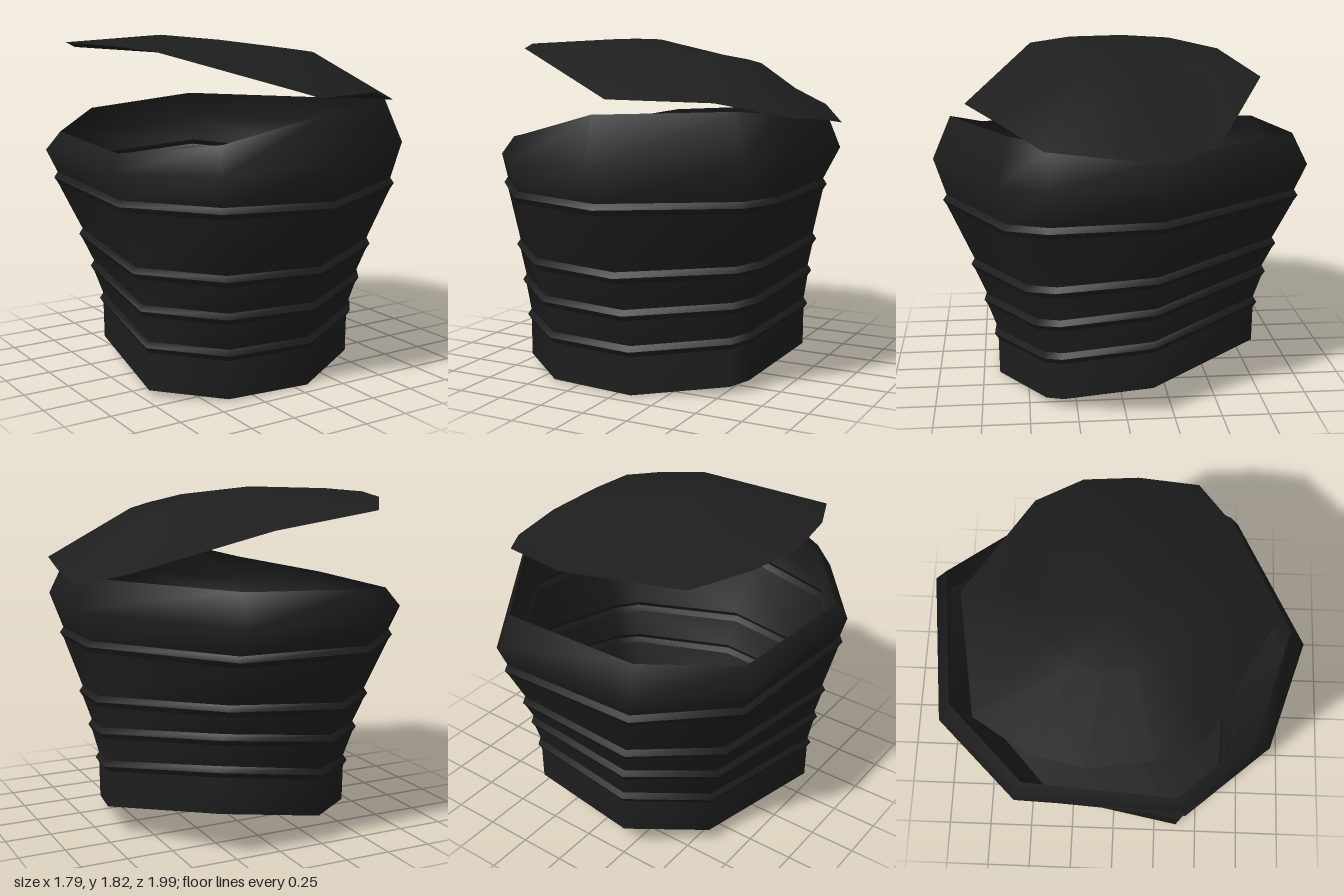
import * as THREE from 'three';

const material = new THREE.MeshStandardMaterial({ color: 0x1e1e1e, side: THREE.DoubleSide });

// Crooked nine-sided loops, front corner first, running front -> +x -> back -> -x
const base = [[0.08, 0, 0.66], [0.53, 0.04, 0.41], [0.6, 0.06, 0.32], [0.72, 0.16, -0.14], [0.33, 0.25, -0.73],
  [-0.24, 0.15, -0.73], [-0.58, 0.09, -0.41], [-0.72, 0.04, 0.38], [-0.4, 0.01, 0.64]];
const shoulder = [[0.02, 1.24, 0.99], [0.71, 1.25, 0.64], [0.84, 1.25, 0.41], [0.89, 1.25, -0.2], [0.33, 1.24, -1],
  [-0.46, 1.2, -0.92], [-0.87, 1.19, -0.5], [-0.9, 1.18, 0.38], [-0.55, 1.2, 0.81]];
const rim = [[0, 1.47, 0.89], [0.63, 1.485, 0.58], [0.75, 1.46, 0.36], [0.82, 1.41, -0.2], [0.3, 1.405, -0.92],
  [-0.42, 1.36, -0.85], [-0.8, 1.29, -0.46], [-0.85, 1.275, 0.33], [-0.5, 1.34, 0.74]];

// How far each wall corner follows the flare; the +x corner is pushed in
const flare = [1, 1, 0.9, 0.65, 0.95, 1, 1, 1, 1];

// Lid outline in the same order
const lidEdge = [[0.03, 1.54, 0.81], [0.53, 1.525, 0.62], [0.84, 1.45, 0.41], [0.89, 1.42, 0.08],
  [0.89, 1.38, -0.22], [0.71, 1.455, -0.47], [0.07, 1.67, -0.79], [-0.6, 1.735, -0.67],
  [-0.78, 1.78, -0.4], [-0.85, 1.79, -0.12], [-0.8, 1.79, 0.2], [-0.69, 1.77, 0.44]];

// Dented part of the lid's inner loop, by corner number
const dent = { 4: [0.45, 1.69, -0.15], 5: [0.42, 1.57, -0.42], 6: [0.05, 1.72, -0.52], 7: [-0.25, 1.81, -0.3] };

// Skin a stack of closed loops, with an optional centre point closing the last one
function skin(name, loops, centre) {
  const n = loops[0].length;
  const points = loops.flat();
  const index = [];
  for (let r = 0; r + 1 < loops.length; r++) {
    for (let i = 0; i < n; i++) {
      const j = (i + 1) % n, a = r * n, b = a + n;
      index.push(a + i, a + j, b + j, a + i, b + j, b + i);
    }
  }
  if (centre) {
    const last = (loops.length - 1) * n;
    for (let i = 0; i < n; i++) index.push(last + i, last + (i + 1) % n, points.length);
    points.push(centre);
  }
  const geometry = new THREE.BufferGeometry();
  geometry.setAttribute('position', new THREE.Float32BufferAttribute(points.flat(), 3));
  geometry.setIndex(index);
  geometry.computeVertexNormals();
  const mesh = new THREE.Mesh(geometry, material);
  mesh.name = name;
  return mesh;
}

// Wall loop: t blends base to shoulder, tilt is how much of the base's slant remains
function wallLoop(t, y, tilt, out = 0) {
  return base.map((p, i) => {
    const q = shoulder[i], f = t * flare[i];
    const x = p[0] + (q[0] - p[0]) * f, z = p[2] + (q[2] - p[2]) * f;
    const k = 1 + out / Math.hypot(x, z);
    return [x * k, y + tilt * p[1], z * k];
  });
}

export function createModel() {
  const model = new THREE.Group();
  model.name = 'batteredBin';

  // Body: plain bands between four raised ridges
  const body = new THREE.Group();
  body.name = 'body';
  const ridges = [[0.01, 0.235, 0.95], [0.17, 0.437, 0.85], [0.37, 0.645, 0.65], [0.8, 1.01, 0.25]];
  let below = base;
  for (const [t, y, tilt] of ridges) {
    const low = wallLoop(t, y - 0.03, tilt);
    const crest = wallLoop(t, y, tilt, 0.02);
    const high = wallLoop(t, y + 0.03, tilt);
    body.add(skin('wallBand', [below, low]), skin('ridgeUnderside', [low, crest]), skin('ridgeTop', [crest, high]));
    below = high;
  }
  body.add(skin('flaredRim', [below, shoulder, rim]));

  // Slanted floor, facing down
  body.add(skin('floor', [[...base].reverse()], [-0.04, 0.09, -0.01]));
  model.add(body);

  // Lid: shallow dome, askew, dented near the back +x corner
  const inner = lidEdge.map(([x, , z], i) => {
    const px = 0.03 + x * 0.48;
    return dent[i] ?? [px, Math.min(1.815, 1.775 - 0.13 * px), z * 0.48];
  });
  model.add(skin('lid', [lidEdge, inner], [-0.05, 1.79, 0]));

  return model;
}
